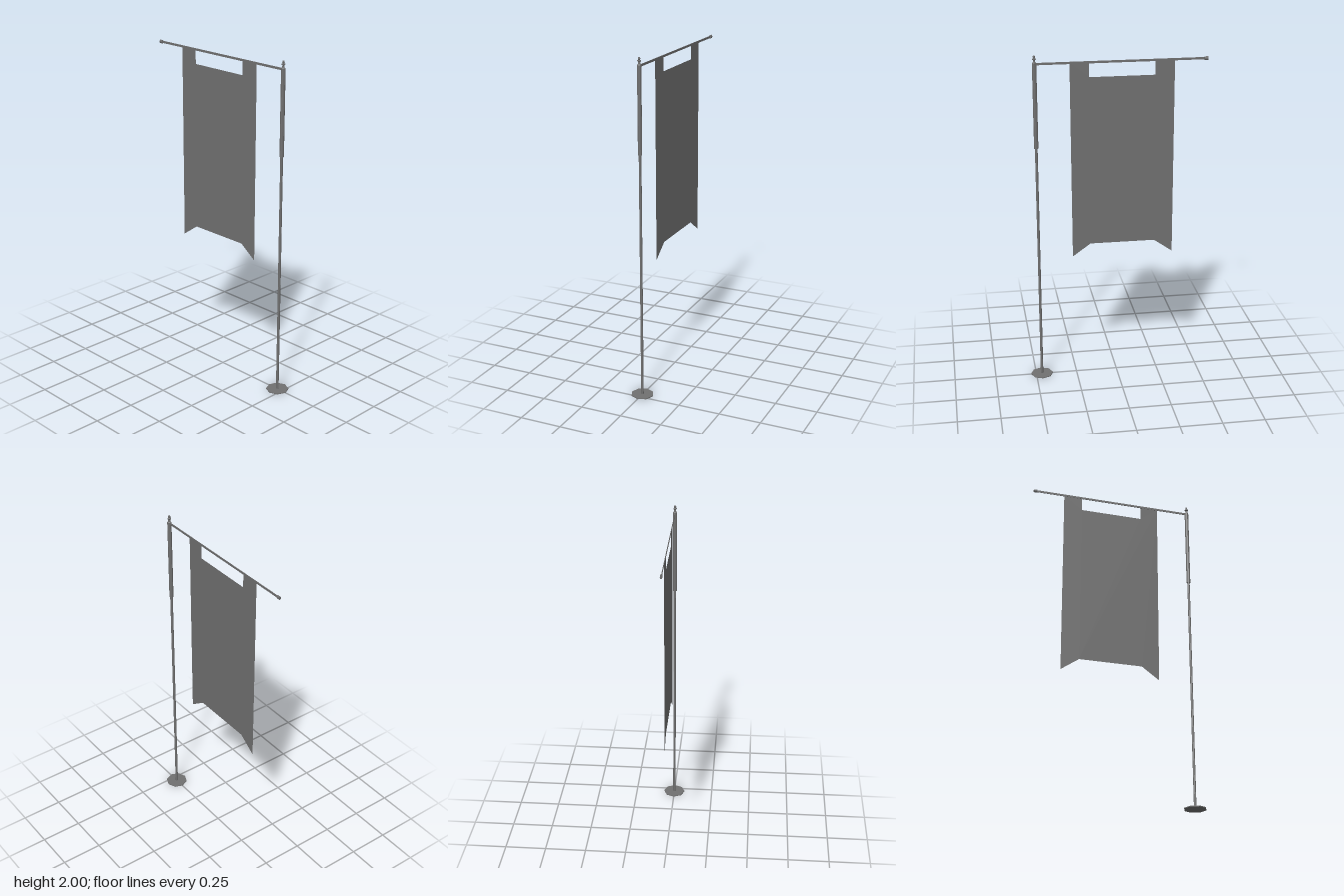
import * as THREE from 'three';

const POLE_X = 0.465, BAR_Y = 1.951;

export function createModel() {
  const group = new THREE.Group();
  const metal = new THREE.MeshStandardMaterial({ color: 0x707070, flatShading: true });
  const fabric = new THREE.MeshStandardMaterial({ color: 0x707070, side: THREE.DoubleSide });

  const add = (name, geometry, x, y, material = metal) => {
    const mesh = new THREE.Mesh(geometry, material);
    mesh.name = name;
    mesh.position.set(x, y, 0);
    group.add(mesh);
    return mesh;
  };
  // Eight-sided upright running from y0 to y1 on the pole axis
  const upright = (name, r, y0, y1) =>
    add(name, new THREE.CylinderGeometry(r, r, y1 - y0, 8), POLE_X, (y0 + y1) / 2);

  // Base plate, pole and upper sleeve
  upright('basePlate', 0.067, 0, 0.005);
  upright('pole', 0.008, 0.005, 1.47);
  upright('sleeve', 0.0125, 1.457, 1.957);

  // Stepped finial on top of the sleeve
  const finial = [[0.0125, 1.957], [0.007, 1.962], [0.006, 1.974], [0.011, 1.978],
    [0.011, 1.982], [0.005, 1.985], [0.007, 1.99], [0.006, 1.998], [0, 2]];
  add('finial', new THREE.LatheGeometry(finial.map(([r, y]) => new THREE.Vector2(r, y)), 8), POLE_X, 0);

  // Flat crossbar with an end knob
  add('crossbar', new THREE.BoxGeometry(0.98, 0.013, 0.003), POLE_X - 0.49, BAR_Y);
  const knob = add('crossbarKnob', new THREE.CylinderGeometry(0.007, 0.007, 0.022, 8), -0.523, BAR_Y);
  knob.rotation.z = Math.PI / 2;
  knob.scale.x = 1.5;

  // Banner: two hanging tabs above, two pointed tails below
  const outline = [[-0.34, 1.951], [-0.34, 0.772], [-0.23, 0.849], [0.155, 0.849], [0.262, 0.772],
    [0.266, 1.951], [0.155, 1.951], [0.155, 1.865], [-0.226, 1.865], [-0.226, 1.951]];
  const banner = new THREE.Shape(outline.map(([x, y]) => new THREE.Vector2(x, y)));
  add('banner', new THREE.ShapeGeometry(banner), 0, 0, fabric);

  return group;
}
